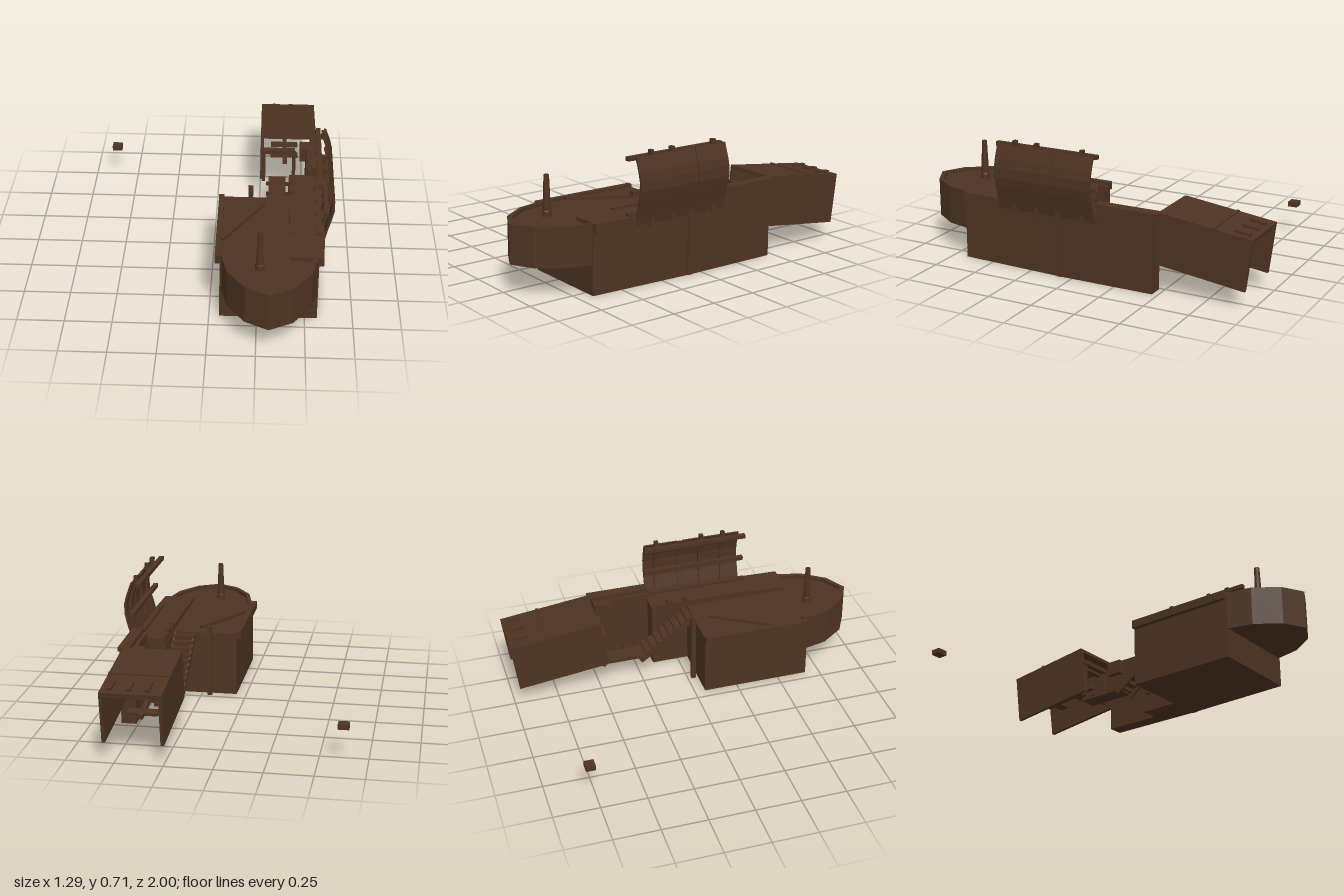
import * as THREE from 'three';

export function createModel() {
  const model = new THREE.Group();
  const wood = new THREE.MeshStandardMaterial({ color: 0x4d3322, flatShading: true, side: THREE.DoubleSide });
  wood.name = 'darkBrown';

  const add = (name, geo, parent = model) => {
    const m = new THREE.Mesh(geo, wood);
    m.name = name;
    parent.add(m);
    return m;
  };
  // box given by its limits on each axis
  const box = (name, x0, x1, y0, y1, z0, z1, parent) => {
    const g = new THREE.BoxGeometry(x1 - x0, y1 - y0, z1 - z0);
    g.translate((x0 + x1) / 2, (y0 + y1) / 2, (z0 + z1) / 2);
    return add(name, g, parent);
  };
  const toVec = (pts) => pts.map(([x, z]) => new THREE.Vector2(x, -z));
  // plan outline (x, z) raised from y0 to y1
  const slab = (name, pts, y0, y1, hole) => {
    const s = new THREE.Shape(toVec(pts));
    if (hole) s.holes.push(new THREE.Path(toVec(hole)));
    const g = new THREE.ExtrudeGeometry(s, { depth: y1 - y0, bevelEnabled: false });
    g.rotateX(-Math.PI / 2).translate(0, y0, 0);
    return add(name, g);
  };

  // hull with a narrow wall running back on the left side
  slab('hull', [[0.055, 0.06], [0.055, 0.67], [0.565, 0.67], [0.592, 0.07], [0.592, -0.47], [0.51, -0.47],
    [0.51, -0.15], [0.41, -0.15], [0.41, 0.06]], 0, 0.355);
  slab('sideDeck', [[0.415, -0.15], [0.415, 0.665], [0.59, 0.665], [0.598, 0.43], [0.598, -0.15]], 0.325, 0.377);
  box('rearWallTop', 0.515, 0.592, 0.35, 0.41, -0.47, -0.15);
  box('rearWallCap', 0.535, 0.597, 0.41, 0.432, -0.49, -0.14);
  box('rearWallBracket', 0.475, 0.515, 0.33, 0.41, -0.47, -0.38);
  box('sideTrim', 0.58, 0.597, 0, 0.37, 0.06, 0.09);
  box('rightRail', 0.03, 0.06, 0.328, 0.372, 0.06, 0.665);
  box('deckRidge', 0.412, 0.432, 0.37, 0.388, -0.13, 0.45);

  // prow
  const prow = [[0.06, 0.65], [0.068, 0.68], [0.097, 0.8], [0.19, 0.93], [0.312, 0.995], [0.435, 0.93],
    [0.527, 0.8], [0.556, 0.68], [0.562, 0.65]];
  slab('prow', prow, 0.163, 0.356);
  const inner = prow.map(([x, z]) => [0.312 + (x - 0.312) * 0.9, z < 0.66 ? z : 0.65 + (z - 0.65) * 0.92]);
  slab('prowRim', [...prow, ...inner.reverse()], 0.35, 0.374);

  // hollow mast
  const mast = add('mast', new THREE.LatheGeometry([[0.026, 0], [0.024, 0.035], [0.021, 0.04], [0.014, 0.225], [0.009, 0.225],
    [0.009, 0.15], [0, 0.15]].map(([r, y]) => new THREE.Vector2(r, y)), 10));
  mast.position.set(0.262, 0.35, 0.74);

  // loose pole lying on the deck
  const pole = add('deckPole', new THREE.BoxGeometry(0.025, 0.02, 0.41));
  pole.position.set(0.165, 0.363, 0.315);
  pole.rotation.y = Math.PI - 0.54;
  box('rearPost', 0.19, 0.216, 0, 0.407, 0.02, 0.046);

  // stairs, platform and their side beams
  const stairs = new THREE.Group();
  stairs.name = 'stairs';
  model.add(stairs);
  for (let i = 0; i < 9; i++) {
    const z = 0.06 - i * 0.035, y = 0.345 - i * 0.025;
    box('tread', 0.29, 0.41, y - 0.012, y, z - 0.04, z, stairs);
  }
  for (const x of [0.292, 0.4]) {
    const s = add('stringer', new THREE.BoxGeometry(0.012, 0.03, 0.39), stairs);
    s.position.set(x + 0.004, 0.225, -0.095);
    s.rotation.x = -0.62;
    for (const z of [-0.43, -0.32]) box('bolt', x - 0.006, x + 0.016, 0.135, 0.155, z - 0.006, z + 0.006, stairs);
  }
  box('platform', 0.3, 0.4, 0.125, 0.142, -0.52, -0.24, stairs);
  box('doorPost', 0.412, 0.436, 0.1, 0.41, -0.06, -0.03);
  box('doorPost', 0.412, 0.436, 0.1, 0.41, 0.04, 0.07);

  // tilted tunnel, open at the ends and below
  const tunnel = new THREE.Group();
  tunnel.name = 'tunnel';
  tunnel.position.set(0, 0.435, -0.49);
  tunnel.rotation.x = -0.127;
  model.add(tunnel);
  box('tunnelRoof', 0.25, 0.568, -0.02, 0, -0.515, 0, tunnel);
  for (const x of [0.25, 0.55]) box('tunnelWall', x, x + 0.018, -0.278, -0.01, -0.515, 0, tunnel);
  box('roofBatten', 0.25, 0.568, 0, 0.006, -0.31, -0.295, tunnel);
  for (const x of [0.33, 0.425, 0.52]) {
    box('roofCleat', x - 0.012, x + 0.012, 0, 0.014, -0.485, -0.4, tunnel);
    box('ceilingBracket', x - 0.01, x + 0.01, -0.09, -0.02, -0.4, -0.37, tunnel);
  }
  for (const z of [-0.42, -0.27, -0.12]) box('ceilingBeam', 0.26, 0.56, -0.045, -0.02, z, z + 0.02, tunnel);
  for (const z of [-0.36, -0.2]) box('tunnelPlank', 0.31, 0.47, -0.2, -0.185, z, z + 0.05, tunnel);
  box('tunnelBar', 0.38, 0.405, -0.2, -0.175, -0.4, -0.05, tunnel);
  box('tunnelFrontBeam', 0.25, 0.45, 0.33, 0.355, -0.49, -0.455);
  for (const x of [0.26, 0.435]) box('tunnelFrontPost', x, x + 0.02, 0.14, 0.34, -0.485, -0.465);

  // curved side shield: two panels, ribs and long rails
  const curve = [[0.597, 0.325], [0.612, 0.39], [0.632, 0.46], [0.643, 0.51], [0.643, 0.565], [0.632, 0.61], [0.606, 0.683]];
  const strip = (name, z0, z1, shift, thick) => {
    const pts = [...curve.map(([x, y]) => [x + shift, y]), ...curve.map(([x, y]) => [x + shift - thick, y]).reverse()];
    const g = new THREE.ExtrudeGeometry(new THREE.Shape(pts.map((p) => new THREE.Vector2(...p))),
      { depth: z1 - z0, bevelEnabled: false });
    g.translate(0, 0, z0);
    return add(name, g);
  };
  strip('shieldPanel', -0.14, 0.06, 0, 0.012);
  strip('shieldPanel', 0.09, 0.43, 0, 0.012);
  strip('shieldSeam', 0.06, 0.09, -0.006, 0.012);
  for (const z of [-0.07, 0.2, 0.33]) {
    strip('shieldRib', z - 0.011, z + 0.011, -0.01, 0.016);
    box('ribTop', 0.578, 0.602, 0.66, 0.708, z - 0.011, z + 0.011);
    box('ribFoot', 0.585, 0.606, 0.315, 0.37, z - 0.011, z + 0.011);
  }
  for (const [x, y] of [[0.562, 0.672], [0.6, 0.505], [0.565, 0.382]]) {
    box('shieldRail', x - 0.012, x + 0.013, y - 0.011, y + 0.011, -0.145, 0.457);
  }
  for (const z of [-0.07, 0.2, 0.33]) box('railTie', 0.562, 0.6, 0.66, 0.684, z - 0.008, z + 0.008);

  // small separate block
  box('looseBlock', -0.65, -0.592, 0.167, 0.194, -0.795, -0.742);
  return model;
}
